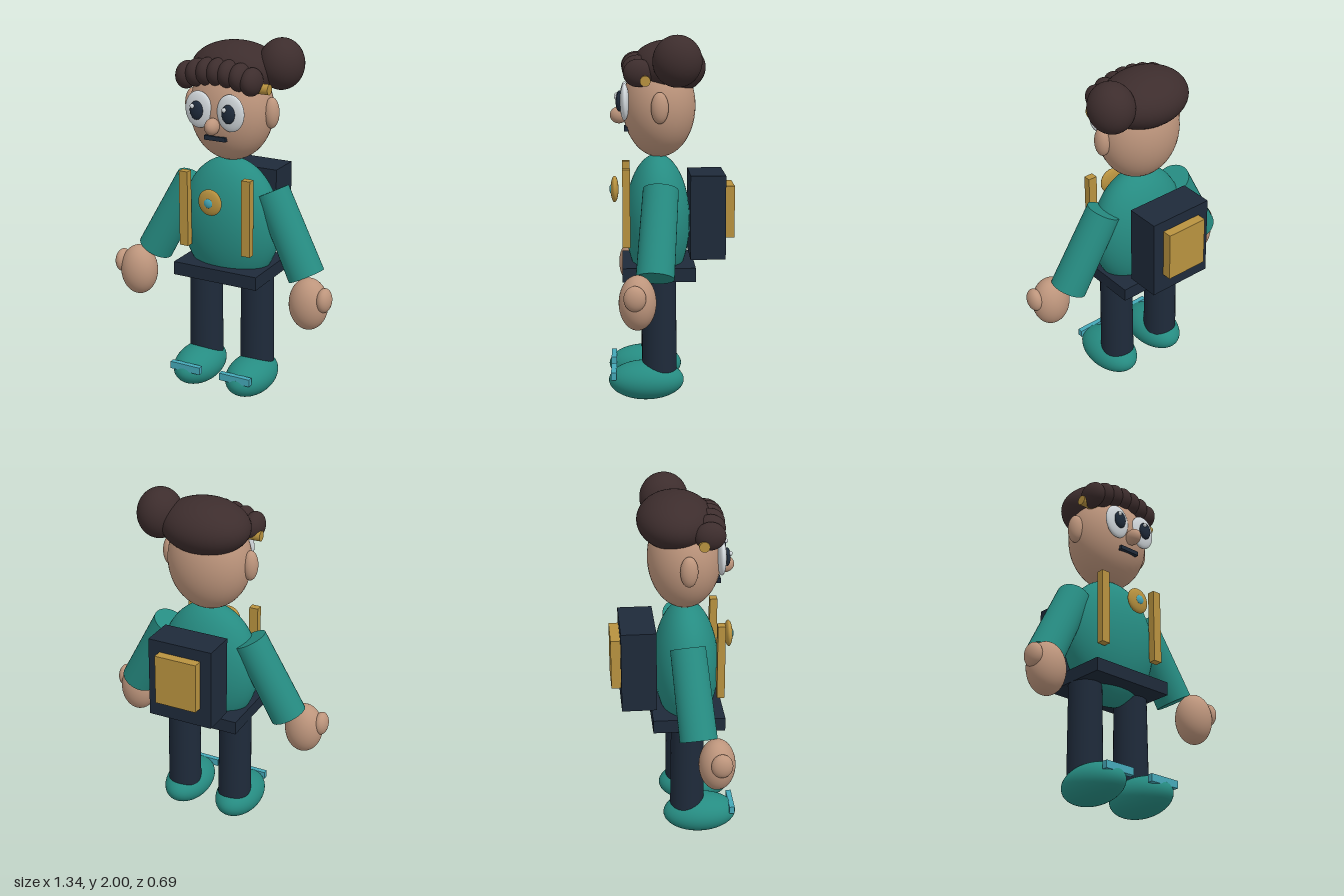
import * as THREE from 'three';

const material = (color) => new THREE.MeshStandardMaterial({ color });
const skin = material(0xbd957c), teal = material(0x268c82), navy = material(0x1e2a3a);
const hair = material(0x3d2d2d), gold = material(0xb8923f), white = material(0xd2d8dc);
const cyan = material(0x45a8b8);

export function createModel() {
  const model = new THREE.Group();

  const add = (name, geometry, mat, [x, y, z]) => {
    const mesh = new THREE.Mesh(geometry, mat);
    mesh.name = name;
    mesh.position.set(x, y, z);
    model.add(mesh);
    return mesh;
  };
  const ellipsoid = (name, mat, centre, [rx, ry, rz]) =>
    add(name, new THREE.SphereGeometry(1, 40, 28).scale(rx, ry, rz), mat, centre);
  const box = (name, mat, centre, size) =>
    add(name, new THREE.BoxGeometry(...size), mat, centre);
  // Cylinder running from a top point to a bottom point
  const limb = (name, mat, top, bottom, rTop, rBottom) => {
    const a = new THREE.Vector3(...top), b = new THREE.Vector3(...bottom);
    const axis = a.clone().sub(b);
    const mesh = add(name, new THREE.CylinderGeometry(rTop, rBottom, axis.length(), 32), mat,
      a.add(b).multiplyScalar(0.5).toArray());
    mesh.quaternion.setFromUnitVectors(new THREE.Vector3(0, 1, 0), axis.normalize());
    return mesh;
  };

  // Body and head
  ellipsoid('torso', teal, [0, 0.975, 0.07], [0.29, 0.37, 0.18]);
  box('belt', navy, [0, 0.715, 0.068], [0.51, 0.075, 0.396]);
  ellipsoid('head', skin, [0, 1.61, 0.06], [0.235, 0.28, 0.2]);
  ellipsoid('nose', skin, [0, 1.56, 0.28], [0.037, 0.046, 0.05]);
  box('mouth', navy, [0, 1.488, 0.235], [0.125, 0.024, 0.035]);

  // Hair cap, side bun and fringe
  ellipsoid('hairCap', hair, [0, 1.82, 0.01], [0.25, 0.15, 0.205]);
  ellipsoid('hairBun', hair, [0.25, 1.862, -0.03], [0.122, 0.138, 0.132]);
  for (let i = 0; i < 7; i++) {
    const t = (i - 3) / 3;
    ellipsoid('fringeCurl', hair,
      [-0.015 + t * 0.193, 1.832 - 0.035 * t * t, 0.185 - 0.01 * t * t],
      [0.055, 0.075, 0.082]);
  }

  // Chest badge
  ellipsoid('badge', gold, [0, 1.15, 0.307], [0.07, 0.073, 0.022]);
  ellipsoid('badgeGem', cyan, [0, 1.15, 0.318], [0.03, 0.03, 0.018]);

  // Backpack
  box('backpack', navy, [0, 1.015, -0.201], [0.376, 0.46, 0.192]);
  box('backpackPocket', gold, [0, 1.038, -0.318], [0.244, 0.285, 0.064]);

  // Paired parts
  for (const [side, s] of [['left', 1], ['right', -1]]) {
    ellipsoid(side + 'Ear', skin, [s * 0.24, 1.615, 0.063], [0.04, 0.084, 0.047]);
    ellipsoid(side + 'Eye', white, [s * 0.095, 1.637, 0.25], [0.08, 0.1, 0.025]);
    ellipsoid(side + 'Pupil', navy, [s * 0.095, 1.637, 0.277], [0.038, 0.051, 0.02]);
    ellipsoid(side + 'EyeGlint', white, [s * 0.095 - 0.016, 1.662, 0.295], [0.012, 0.013, 0.01]);
    limb(side + 'HairClip', gold, [s * 0.265, 1.758, 0.14], [s * 0.16, 1.758, 0.14], 0.028, 0.028);

    box(side + 'Strap', gold, [s * 0.19, 1.072, 0.243], [0.052, 0.425, 0.042]);
    limb(side + 'Arm', teal, [s * 0.245, 1.18, 0.058], [s * 0.475, 0.745, 0.095], 0.096, 0.102);
    ellipsoid(side + 'Hand', skin, [s * 0.533, 0.63, 0.188], [0.108, 0.145, 0.098]);
    ellipsoid(side + 'Thumb', skin, [s * 0.63, 0.673, 0.203], [0.04, 0.067, 0.058]);

    limb(side + 'Leg', navy, [s * 0.163, 0.72, 0.065], [s * 0.163, 0.15, 0.065], 0.091, 0.096);
    ellipsoid(side + 'Shoe', teal, [s * 0.167, 0.108, 0.137], [0.13, 0.108, 0.207]);
    box(side + 'ShoeStrap', cyan, [s * 0.156, 0.15, 0.316], [0.187, 0.042, 0.03]);
  }
  return model;
}
